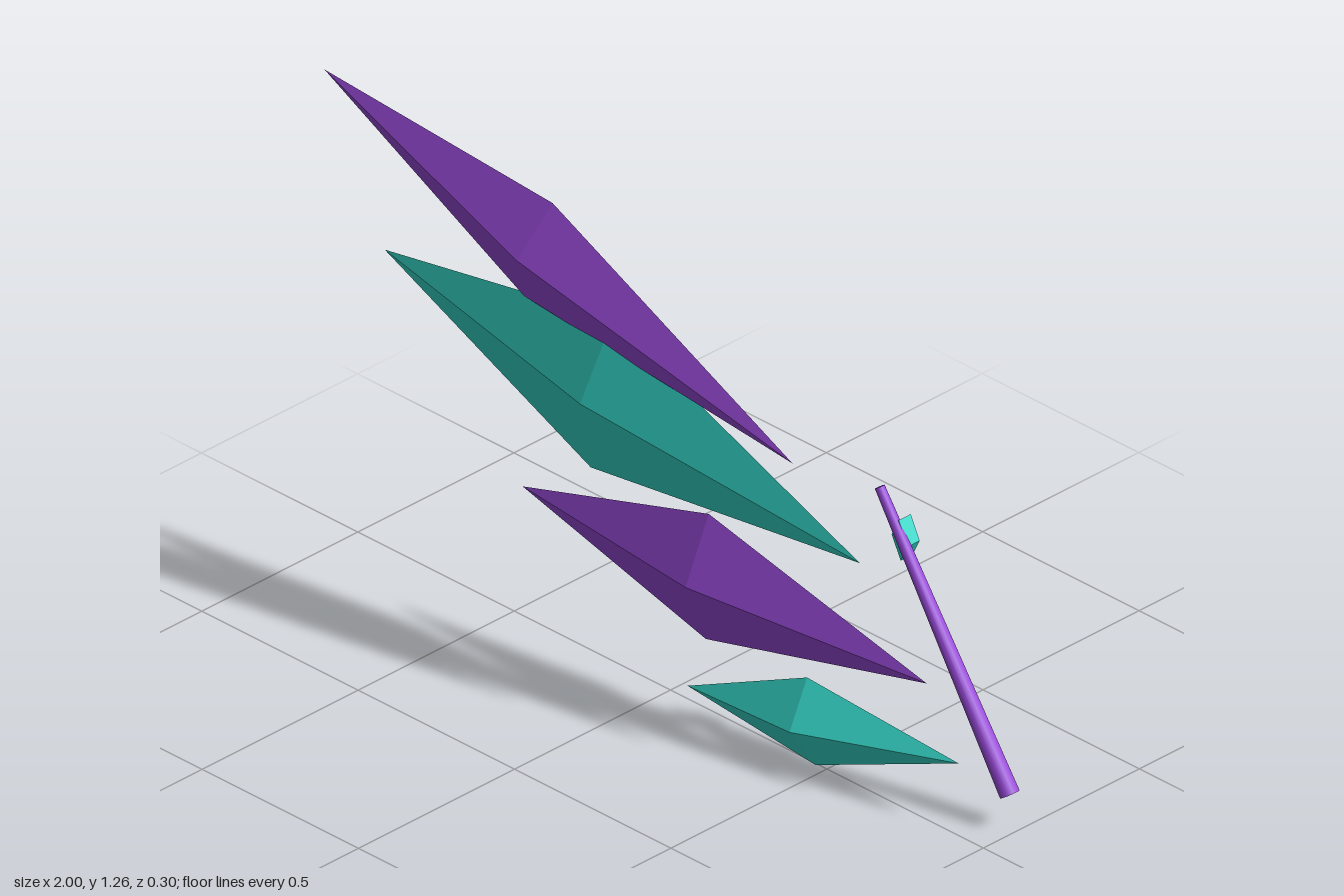
import * as THREE from 'three';

const purple = new THREE.MeshStandardMaterial({ color: 0x9a4bdb });
purple.name = 'purple';
const teal = new THREE.MeshStandardMaterial({ color: 0x36dccd });
teal.name = 'teal';

// Faceted crystal blade: two tips joined to a four-point cross-section
function blade(name, material, outer, inner, halfHeight) {
  const a = new THREE.Vector3(...outer), b = new THREE.Vector3(...inner);
  const c = a.clone().lerp(b, 0.457);
  const up = new THREE.Vector3(a.y - b.y, b.x - a.x, 0).normalize().multiplyScalar(halfHeight);
  const ring = [
    c.clone().add(up),
    c.clone().add(new THREE.Vector3(0, 0, 0.07)),
    c.clone().sub(up),
    c.clone().add(new THREE.Vector3(0, 0, -0.044)),
  ];
  const points = [];
  ring.forEach((p, i) => {
    const q = ring[(i + 1) % 4];
    points.push(a, q, p, b, p, q);
  });
  const geometry = new THREE.BufferGeometry().setFromPoints(points);
  geometry.computeVertexNormals();
  const mesh = new THREE.Mesh(geometry, material);
  mesh.name = name;
  return mesh;
}

export function createModel() {
  const model = new THREE.Group();
  model.name = 'crystalWing';

  // Fan of four blades, alternating colours
  model.add(
    blade('topBlade', purple, [-1, 1.265, 0.107], [0.435, 0.8, 0.045], 0.148),
    blade('upperBlade', teal, [-0.83, 0.853, 0.084], [0.625, 0.607, 0.02], 0.213),
    blade('lowerBlade', purple, [-0.415, 0.393, 0.058], [0.815, 0.36, -0.004], 0.166),
    blade('bottomBlade', teal, [0.09, 0.07, 0.036], [0.89, 0.17, -0.031], 0.11),
  );

  // Tapered rod behind the blade roots
  const low = new THREE.Vector3(0.976, 0.092, -0.109);
  const high = new THREE.Vector3(0.56, 0.727, -0.109);
  const axis = high.clone().sub(low);
  const rod = new THREE.Mesh(new THREE.CylinderGeometry(0.012, 0.024, axis.length(), 10), purple);
  rod.name = 'rod';
  rod.position.copy(low).add(high).multiplyScalar(0.5);
  rod.quaternion.setFromUnitVectors(new THREE.Vector3(0, 1, 0), axis.normalize());
  model.add(rod);

  // Small slanted gem on the back of the rod
  const outline = new THREE.Shape([[0.62, 0.664], [0.597, 0.617], [0.626, 0.56], [0.649, 0.606]]
    .map(([x, y]) => new THREE.Vector2(x, y)));
  const gem = new THREE.Mesh(
    new THREE.ExtrudeGeometry(outline, { depth: 0.038, bevelEnabled: false }), teal);
  gem.name = 'gem';
  gem.position.z = -0.148;
  model.add(gem);

  return model;
}
